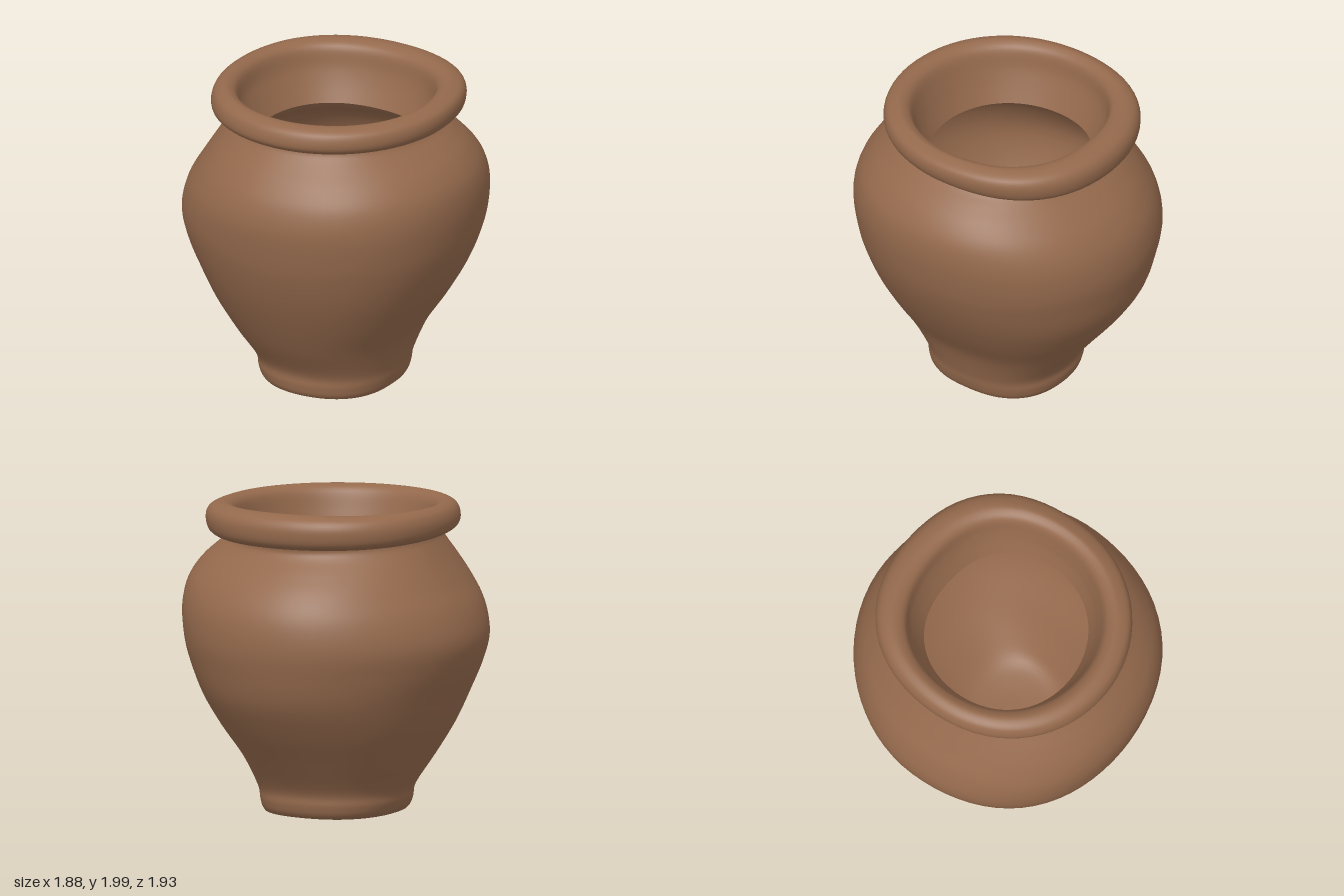
import * as THREE from 'three';

const SEGMENTS = 72;
const STEPS = 5;

// Uniform Catmull-Rom interpolation of one number
function spline(a, b, c, d, t) {
  return 0.5 * (2 * b + (c - a) * t + (2 * a - 5 * b + 4 * c - d) * t * t
    + (3 * b - a - 3 * c + d) * t * t * t);
}

// Smoothly resample profile rows
function resample(rows) {
  const out = [];
  const last = rows.length - 1;
  for (let i = 0; i < last; i++) {
    const [a, b, c, d] = [i - 1, i, i + 1, i + 2].map(k => rows[Math.min(last, Math.max(0, k))]);
    for (let s = 0; s < STEPS; s++) {
      out.push(b.map((v, k) => spline(a[k], v, c[k], d[k], s / STEPS)));
    }
  }
  out.push(rows[last]);
  return out;
}

// Loft uneven rings. Row: [y, reach to -x, +x, +z, -z, tilt along z].
// Swelling of the diagonals [+x+z, -x+z, -x-z, +x-z] blends from foot to belly.
function loft(name, rows, footBulge, bellyBulge, material) {
  const rings = resample(rows);
  const positions = [];
  const index = [];
  for (const [y, left, right, front, back, tilt] of rings) {
    const blend = Math.min(1, Math.max(0, y));
    for (let j = 0; j < SEGMENTS; j++) {
      const angle = j / SEGMENTS * Math.PI * 2;
      const c = Math.cos(angle), s = Math.sin(angle);
      const rx = Math.max(0.001, c > 0 ? right : left);
      const rz = Math.max(0.001, s > 0 ? front : back);
      const q = Math.floor(j / SEGMENTS * 4);
      const bulge = THREE.MathUtils.lerp(footBulge[q], bellyBulge[q], blend);
      const r = (1 + bulge * Math.sin(2 * angle) ** 2) / Math.hypot(c / rx, s / rz);
      positions.push(r * c, Math.max(0, y + tilt * r * s), r * s);
    }
  }
  for (let i = 0; i < rings.length - 1; i++) {
    for (let j = 0; j < SEGMENTS; j++) {
      const k = (j + 1) % SEGMENTS;
      const a = i * SEGMENTS + j, b = i * SEGMENTS + k;
      index.push(a, a + SEGMENTS, b, b, a + SEGMENTS, b + SEGMENTS);
    }
  }
  const geometry = new THREE.BufferGeometry();
  geometry.setAttribute('position', new THREE.Float32BufferAttribute(positions, 3));
  geometry.setIndex(index);
  geometry.computeVertexNormals();
  const mesh = new THREE.Mesh(geometry, material);
  mesh.name = name;
  return mesh;
}

export function createModel() {
  const group = new THREE.Group();
  group.name = 'clayPot';
  const clay = new THREE.MeshStandardMaterial({ color: 0x94694c });
  clay.name = 'brown clay';
  const footBulge = [0.07, 0.06, 0.03, 0.06];
  const bellyBulge = [0.03, 0.025, -0.015, 0.02];
  const rimBulge = [0.005, 0.015, 0.03, 0.045];

  // Underside, foot, belly and neck
  group.add(loft('body', [
    [0.005, 0, 0, 0, 0, 0],
    [0.01, 0.20, 0.20, 0.22, 0.20, 0],
    [0.035, 0.37, 0.39, 0.44, 0.38, 0],
    [0.06, 0.42, 0.43, 0.49, 0.425, 0],
    [0.12, 0.45, 0.45, 0.505, 0.445, 0],
    [0.21, 0.475, 0.47, 0.515, 0.46, 0],
    [0.40, 0.60, 0.54, 0.64, 0.60, 0],
    [0.60, 0.725, 0.67, 0.75, 0.755, 0],
    [0.80, 0.82, 0.785, 0.845, 0.88, 0],
    [1.00, 0.91, 0.875, 0.915, 0.94, 0],
    [1.17, 0.945, 0.92, 0.95, 0.965, 0],
    [1.35, 0.895, 0.94, 0.965, 0.94, 0],
    [1.50, 0.805, 0.92, 0.93, 0.86, 0],
    [1.62, 0.73, 0.85, 0.855, 0.75, 0],
    [1.71, 0.675, 0.755, 0.77, 0.66, 0.01],
    [1.77, 0.64, 0.68, 0.71, 0.635, 0.03],
    [1.82, 0.63, 0.65, 0.70, 0.65, 0.03],
  ], footBulge, bellyBulge, clay));

  // Rolled lip, turning down to the inner ledge
  group.add(loft('rim', [
    [1.80, 0.58, 0.62, 0.66, 0.60, 0.03],
    [1.80, 0.69, 0.68, 0.74, 0.72, 0.03],
    [1.835, 0.75, 0.75, 0.79, 0.785, 0.025],
    [1.90, 0.765, 0.775, 0.80, 0.80, 0],
    [1.96, 0.745, 0.76, 0.78, 0.775, 0],
    [1.99, 0.70, 0.70, 0.73, 0.72, 0],
    [1.99, 0.66, 0.66, 0.68, 0.65, 0],
    [1.95, 0.615, 0.61, 0.63, 0.595, 0],
    [1.84, 0.59, 0.585, 0.59, 0.57, 0],
    [1.74, 0.55, 0.565, 0.555, 0.535, 0],
    [1.63, 0.50, 0.53, 0.51, 0.485, 0],
  ], rimBulge, rimBulge, clay));

  // Hollow inside, from the ledge down to the bowl-shaped floor
  group.add(loft('interior', [
    [1.63, 0.50, 0.53, 0.51, 0.485, 0],
    [1.57, 0.56, 0.64, 0.63, 0.56, 0],
    [1.44, 0.71, 0.79, 0.81, 0.75, 0],
    [1.20, 0.83, 0.82, 0.85, 0.85, 0],
    [0.90, 0.76, 0.73, 0.78, 0.80, 0],
    [0.62, 0.61, 0.56, 0.63, 0.63, 0],
    [0.40, 0.44, 0.43, 0.50, 0.42, 0],
    [0.27, 0.27, 0.33, 0.38, 0.26, 0],
    [0.23, 0.13, 0.17, 0.20, 0.13, 0],
    [0.22, 0, 0, 0, 0, 0],
  ], rimBulge, rimBulge, clay));

  return group;
}
